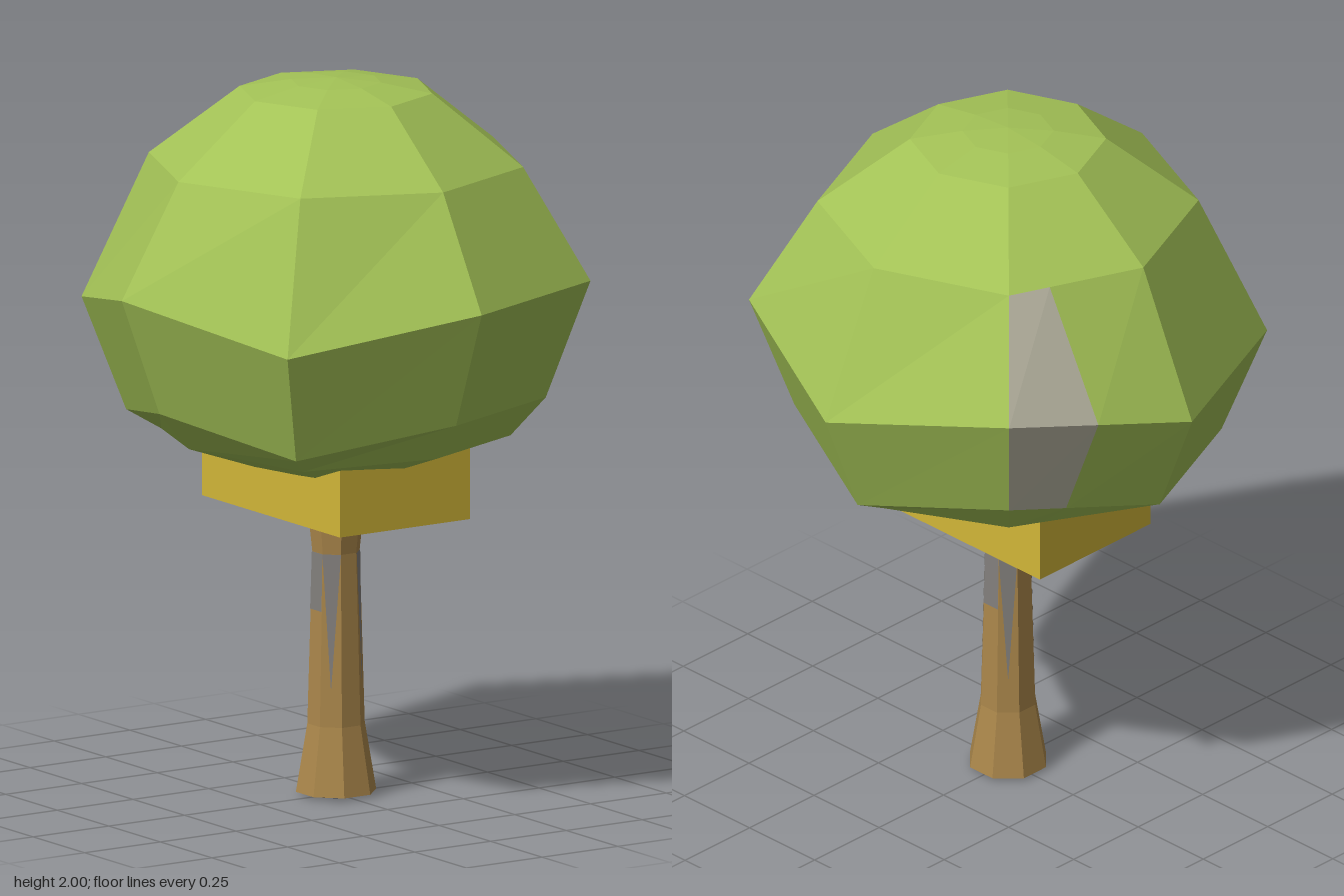
import * as THREE from 'three';

const SIDES = 8;

function paint(name, color) {
  const m = new THREE.MeshStandardMaterial({ color });
  m.name = name;
  return m;
}

// Flat-shaded geometry from a list of corner points, three per triangle
function facets(points) {
  const g = new THREE.BufferGeometry().setFromPoints(points);
  g.computeVertexNormals();
  return g;
}

// Adds the quads between two vertical columns of points (left to right, bottom to top)
function strip(out, left, right, from = 0, to = left.length - 1) {
  for (let j = from; j < to; j++) {
    const [a, b, c, d] = [left[j], right[j], right[j + 1], left[j + 1]];
    for (const t of [[a, b, c], [a, c, d]]) {
      if (new THREE.Triangle(...t).getArea() > 1e-7) out.push(...t);
    }
  }
}

const ringPoint = (angle, r, y) => new THREE.Vector3(r * Math.sin(angle), y, r * Math.cos(angle));

export function createModel() {
  const leaf = paint('leaf green', 0xa3c256);
  const pale = paint('pale grey', 0xb8b5a2);
  const gold = paint('golden yellow', 0xd2b638);
  const bark = paint('bark brown', 0xab874b);
  const grey = paint('bark grey', 0x827f7c);

  const model = new THREE.Group();
  model.name = 'tree';
  const add = (name, geometry, material) => {
    const mesh = new THREE.Mesh(geometry, material);
    mesh.name = name;
    model.add(mesh);
    return mesh;
  };

  // Canopy: rings of [radius, low corner height, high corner height]
  const rings = [
    [0, 0.9, 0.9], [0.27, 0.935, 0.945], [0.485, 1.0, 1.02], [0.583, 1.05, 1.13], [0.707, 1.36, 1.46],
    [0.52, 1.77, 1.77], [0.268, 1.965, 1.965], [0.125, 1.99, 1.99], [0, 2, 2],
  ];
  const raised = [1, 1, 0, 1, 0, 0, 1, 0];
  const columns = raised.map((up, i) =>
    rings.map(([r, low, high]) => ringPoint((i / SIDES) * Math.PI * 2, r, up ? high : low)));
  const green = [], patch = [];
  for (let i = 0; i < SIDES; i++) {
    const a = columns[i], b = columns[(i + 1) % SIDES];
    if (i !== 3) { strip(green, a, b); continue; }
    // this column is divided upright, with a pale patch on its first part
    const mid = a.map((p, j) => p.clone().lerp(b[j], p.x > 0.3 ? 1 - 0.256 / p.x : 0.31));
    strip(green, mid, b);
    strip(green, a, mid, 0, 3);
    strip(patch, a, mid, 3, 5);
    strip(green, a, mid, 5);
  }
  add('canopy', facets(green), leaf);
  add('canopyPatch', facets(patch), pale);

  // Block under the canopy
  const block = add('canopyBlock', new THREE.BoxGeometry(0.43, 0.23, 0.67), gold);
  block.position.y = 0.915;

  // Trunk: flared eight-sided column with flat front
  const profile = [[0.112, 0.01], [0.08, 0.2], [0.066, 0.68], [0.08, 0.81]];
  const trunkColumn = (i, grow = 0) =>
    profile.map(([r, y]) => ringPoint(((i - 0.5) / SIDES) * Math.PI * 2, r + grow, y));
  const trunk = [], streaks = [];
  for (let i = 0; i < SIDES; i++) {
    strip(trunk, trunkColumn(i), trunkColumn(i + 1));
    // grey streaks: tapering on the diagonal faces, a short panel on the side faces
    const l = trunkColumn(i, 0.0015), r = trunkColumn(i + 1, 0.0015);
    const at = (col, y) => col[1].clone().lerp(col[2], (y - 0.2) / 0.48);
    if (i % 2) {
      const tip = at(l, 0.3).lerp(at(r, 0.3), 0.5);
      streaks.push(tip, at(r, 0.68), at(l, 0.68));
    } else if (i % 4 === 2) {
      strip(streaks, [at(l, 0.52), at(l, 0.68)], [at(r, 0.52), at(r, 0.68)]);
    }
  }
  add('trunk', facets(trunk), bark);
  add('trunkStreaks', facets(streaks), grey);

  // Small foot closing the trunk
  const foot = add('trunkFoot', new THREE.CylinderGeometry(0.11, 0.065, 0.012, SIDES, 1).toNonIndexed(), grey);
  foot.geometry.computeVertexNormals();
  foot.rotation.y = Math.PI / SIDES;
  foot.position.y = 0.006;

  return model;
}
